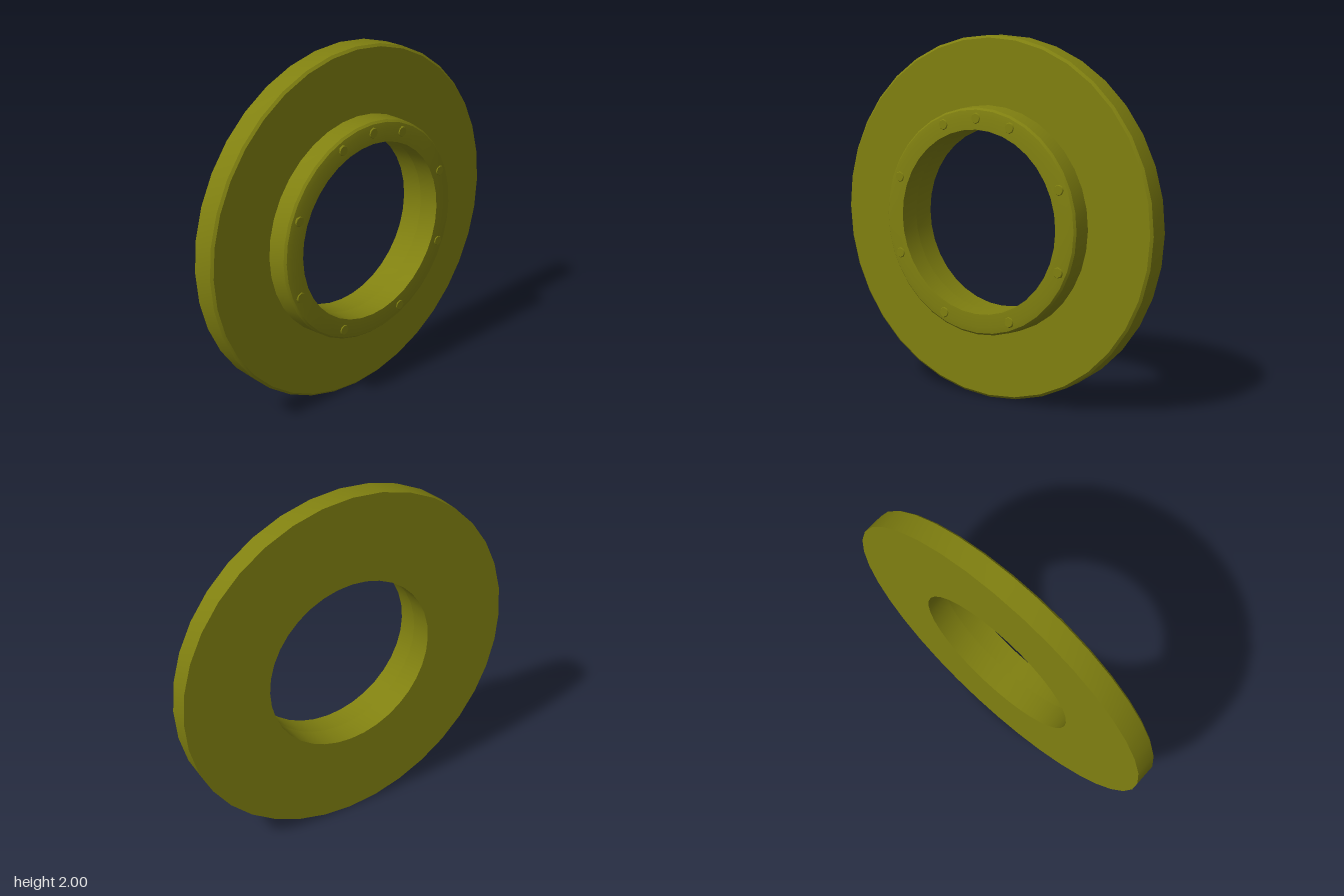
import * as THREE from 'three';
import { toCreasedNormals } from 'three/addons/utils/BufferGeometryUtils.js';

export function createModel() {
  const group = new THREE.Group();
  const material = new THREE.MeshStandardMaterial({ color: 0x808010 });

  // Closed [radius, x] profile turned around the x axis
  const ring = (name, profile) => {
    const points = profile.map(([r, x]) => new THREE.Vector2(r, x));
    const geometry = toCreasedNormals(new THREE.LatheGeometry(points, 36), 0.6);
    geometry.rotateZ(-Math.PI / 2);
    const mesh = new THREE.Mesh(geometry, material);
    mesh.name = name;
    mesh.position.y = 1;
    group.add(mesh);
  };

  // Wide flange with a softened front rim, and the raised collar, sharing one bore
  ring('flange', [[0.502, 0.003], [0.502, -0.13], [1, -0.13], [1, -0.008], [0.986, 0.004], [0.62, 0.004]]);
  ring('collar', [[0.626, 0.003], [0.619, 0.107], [0.608, 0.119], [0.575, 0.125], [0.502, 0.125], [0.502, 0.003]]);

  // Eight evenly spaced bolt heads plus one extra at the top
  const bolts = new THREE.Group();
  bolts.name = 'bolts';
  const boltGeometry = new THREE.CylinderGeometry(0.026, 0.036, 0.016, 8);
  boltGeometry.rotateZ(-Math.PI / 2);
  const angles = [0];
  for (let i = 0; i < 8; i++) angles.push(((i + 0.5) * Math.PI) / 4);
  for (const a of angles) {
    const bolt = new THREE.Mesh(boltGeometry, material);
    bolt.name = 'bolt';
    bolt.position.set(0.122, 1 + 0.562 * Math.cos(a), 0.562 * Math.sin(a));
    bolts.add(bolt);
  }
  group.add(bolts);

  return group;
}
